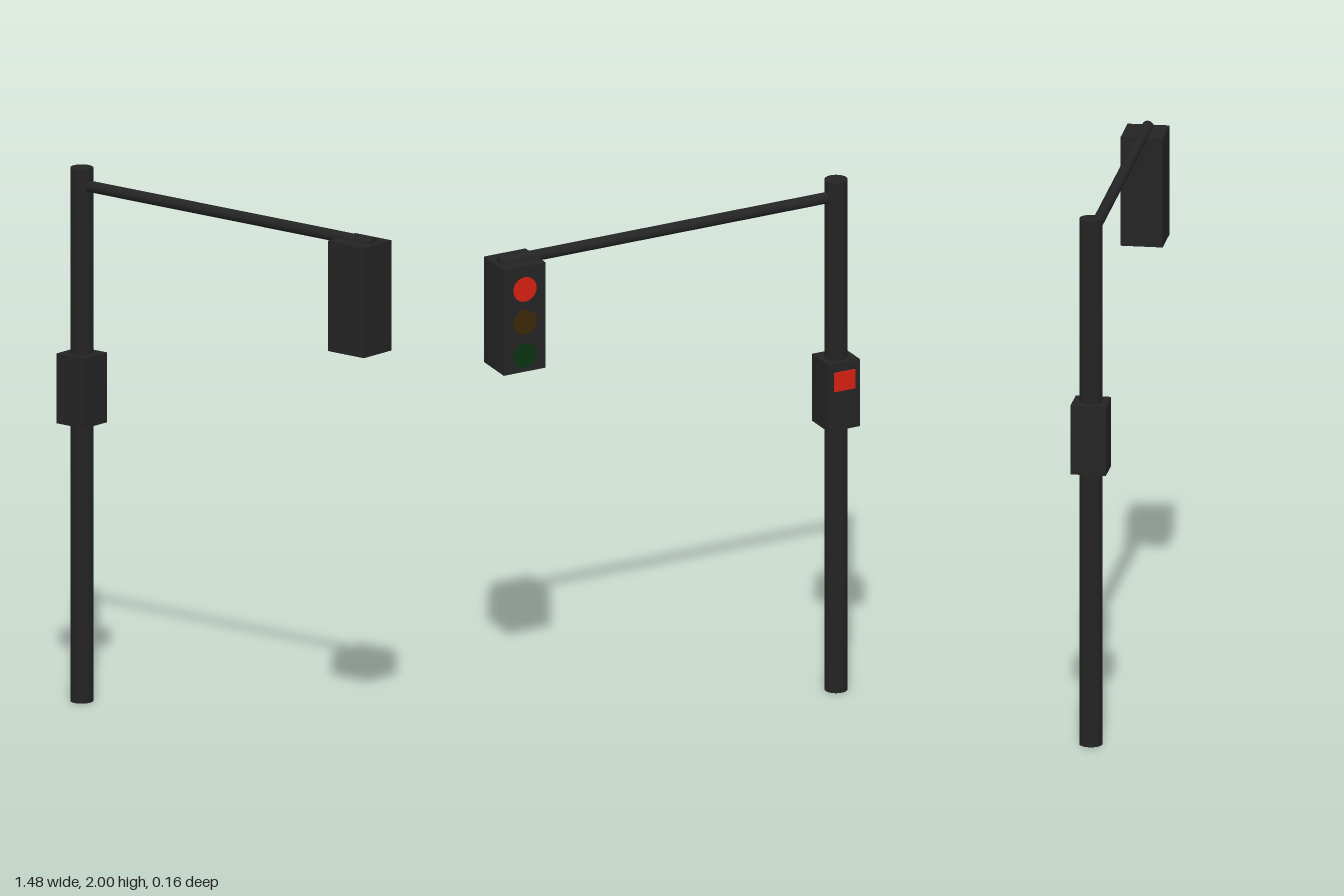
import * as THREE from 'three';

export function createModel() {
  const model = new THREE.Group();
  const material = (name, color) => {
    const m = new THREE.MeshStandardMaterial({ color });
    m.name = name;
    return m;
  };
  const dark = material('dark metal', 0x242424);
  const red = material('lit red', 0xd62010);
  const amber = material('unlit amber', 0x3c2808);
  const green = material('unlit green', 0x0a3412);

  const add = (name, geometry, mat, x, y, z, parent = model) => {
    const mesh = new THREE.Mesh(geometry, mat);
    mesh.name = name;
    mesh.position.set(x, y, z);
    parent.add(mesh);
    return mesh;
  };

  // Upright pole and the round arm reaching out from its top
  const poleX = -0.676, armEnd = 0.714;
  add('pole', new THREE.CylinderGeometry(0.042, 0.042, 2, 32), dark, poleX, 1, 0);
  const armLength = armEnd - poleX;
  const arm = add('arm', new THREE.CylinderGeometry(0.021, 0.021, armLength, 24), dark,
    poleX + armLength / 2, 1.934, 0);
  arm.rotation.z = Math.PI / 2;

  // Control box around the pole with a red panel on its back
  add('controlBox', new THREE.BoxGeometry(0.13, 0.262, 0.13), dark, poleX, 1.173, 0);
  add('controlPanel', new THREE.BoxGeometry(0.087, 0.075, 0.008), red, poleX, 1.233, -0.065);

  // Signal head with three lamps facing the back
  const signal = new THREE.Group();
  signal.name = 'signalHead';
  signal.position.set(0.649, 1.7275, 0);
  model.add(signal);
  add('signalHousing', new THREE.BoxGeometry(0.172, 0.413, 0.155), dark, 0, 0, 0, signal);
  const lampGeometry = new THREE.CylinderGeometry(0.047, 0.047, 0.008, 32).rotateX(Math.PI / 2);
  [['redLamp', red], ['amberLamp', amber], ['greenLamp', green]].forEach(([name, mat], i) => {
    add(name, lampGeometry, mat, 0, 0.117 - i * 0.129, -0.0775, signal);
  });

  return model;
}
